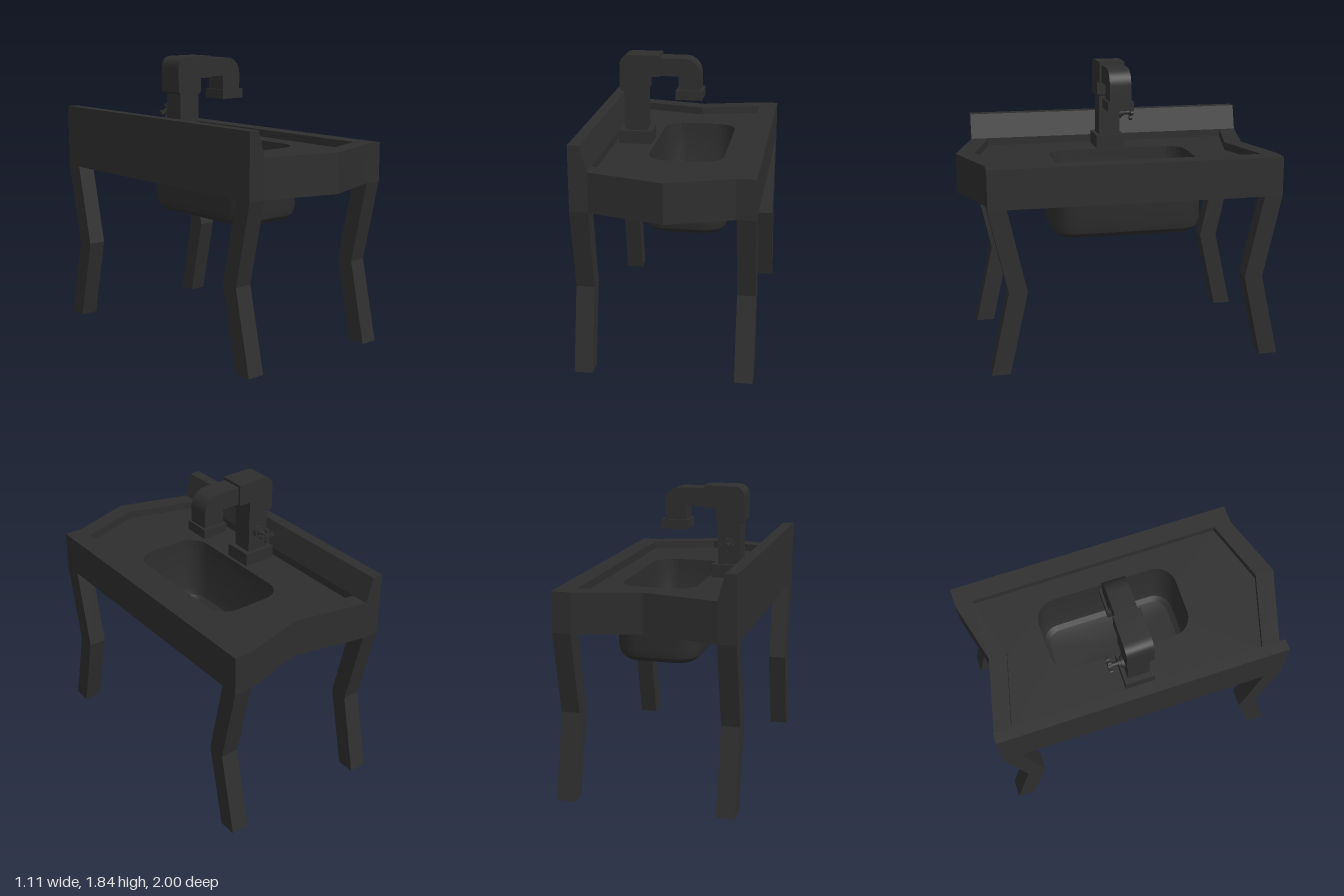
import * as THREE from 'three';
import { toCreasedNormals } from 'three/addons/utils/BufferGeometryUtils.js';

const charcoal = new THREE.MeshStandardMaterial({ color: 0x2e2e2e });
charcoal.name = 'charcoal';

const shapeOf = (pts) => new THREE.Shape(pts.map(([a, b]) => new THREE.Vector2(a, b)));

// Extrude an outline given in x and z downward from the height 'top'
function slab(pts, hole, top, depth) {
  const shape = shapeOf(pts);
  if (hole) shape.holes.push(shapeOf(hole));
  return new THREE.ExtrudeGeometry(shape, { depth, bevelEnabled: false }).rotateX(Math.PI / 2).translate(0, top, 0);
}

// Rounded rectangle as a loop of [x, z] points
function roundedLoop(cx, cz, hw, hd, r, steps = 6) {
  const pts = [];
  [[1, 1], [-1, 1], [-1, -1], [1, -1]].forEach(([sx, sz], q) => {
    for (let i = 0; i <= steps; i++) {
      const a = (q + i / steps) * Math.PI / 2;
      pts.push([cx + sx * (hw - r) + r * Math.cos(a), cz + sz * (hd - r) + r * Math.sin(a)]);
    }
  });
  return pts;
}

// Skin a stack of equal loops, closing the first and last at their centres
function loft(sections, cx, cz) {
  const pos = [], idx = [], n = sections[0].loop.length;
  for (const { loop, y } of sections) for (const [x, z] of loop) pos.push(x, y, z);
  for (let s = 0; s < sections.length - 1; s++) {
    for (let i = 0; i < n; i++) {
      const j = (i + 1) % n, a = s * n + i, b = s * n + j;
      idx.push(a, a + n, b, b, a + n, b + n);
    }
  }
  const last = sections.length - 1, first = pos.length / 3;
  pos.push(cx, sections[0].y, cz, cx, sections[last].y, cz);
  for (let i = 0; i < n; i++) {
    const j = (i + 1) % n;
    idx.push(first, i, j, first + 1, last * n + j, last * n + i);
  }
  const g = new THREE.BufferGeometry();
  g.setAttribute('position', new THREE.Float32BufferAttribute(pos, 3));
  g.setIndex(idx);
  return toCreasedNormals(g, 0.45);
}

// Extrude a side outline in x and y, centred on the depth z
function sideProfile(shape, width, z) {
  const g = new THREE.ExtrudeGeometry(shape, { depth: width, bevelEnabled: false, curveSegments: 8 });
  return toCreasedNormals(g.translate(0, 0, z - width / 2), 0.45);
}

export function createModel() {
  const group = new THREE.Group();
  const add = (name, geometry, x = 0, y = 0, z = 0) => {
    const mesh = new THREE.Mesh(geometry, charcoal);
    mesh.name = name;
    mesh.position.set(x, y, z);
    group.add(mesh);
    return mesh;
  };

  // Counter frame with a bowed front end and a notched back end
  const outer = [[-0.555, -1], [-0.44, -1], [0.03, -0.895], [0.435, -1], [0.555, -1],
    [0.555, 0.86], [0.435, 0.86], [0.03, 1], [-0.44, 0.86], [-0.555, 0.86]];
  const inner = [[-0.44, -0.89], [0.03, -0.78], [0.435, -0.89], [0.435, 0.745], [0.03, 0.88], [-0.44, 0.745]];
  add('counterFrame', slab(outer, inner, 1.305, 0.25));

  // Sunken worktop with the basin opening
  const cx = 0.062, cz = -0.07;
  const basinLoop = (inset, r) => roundedLoop(cx, cz, 0.27 - inset, 0.49 - inset, r);
  add('worktop', slab(inner, basinLoop(0.03, 0.13), 1.255, 0.055));

  // Basin: outside from the bottom up, then inside from the rim down
  const profile = [[0.1, 0.765, 0.08], [0.05, 0.777, 0.11], [0.015, 0.81, 0.135], [0, 0.86, 0.15], [0, 1.2, 0.15],
    [0.03, 1.2, 0.13], [0.03, 0.88, 0.13], [0.045, 0.835, 0.115], [0.075, 0.808, 0.095], [0.12, 0.8, 0.07]];
  add('basin', loft(profile.map(([inset, y, r]) => ({ loop: basinLoop(inset, r), y })), cx, cz));

  // Splashback with a sloping face
  const splash = shapeOf([[-0.555, 1.305], [-0.44, 1.305], [-0.485, 1.465], [-0.555, 1.465]]);
  add('splashback', new THREE.ExtrudeGeometry(splash, { depth: 1.86, bevelEnabled: false }), 0, 0, -1);

  // Four bent legs; the outline is in z and y
  for (const [end, foot, dir] of [['front', 0.86, -1], ['back', -1, 1]]) {
    const w = 0.117 * dir, knee = foot + w;
    const outline = shapeOf([[foot, 0], [foot + w, 0], [knee + w, 0.53], [foot + w, 1.055], [foot, 1.055], [knee, 0.53]]);
    for (const [side, x] of [['Left', 0.44], ['Right', -0.555]]) {
      const g = new THREE.ExtrudeGeometry(outline, { depth: 0.115, bevelEnabled: false });
      add(end + side + 'Leg', g.rotateY(-Math.PI / 2).translate(0.115, 0, 0), x);
    }
  }

  // Tap: square base, post, heavy elbow, curved spout and nozzle
  const tz = -0.05;
  add('tapBase', new THREE.BoxGeometry(0.215, 0.085, 0.19), -0.307, 1.2975, tz);
  add('tapPost', new THREE.BoxGeometry(0.145, 0.28, 0.14), -0.307, 1.48, tz);

  const elbow = new THREE.Shape();
  elbow.moveTo(-0.39, 1.603);
  elbow.lineTo(-0.235, 1.603);
  elbow.lineTo(-0.225, 1.613);
  elbow.lineTo(-0.225, 1.7);
  elbow.lineTo(-0.145, 1.7);
  elbow.lineTo(-0.145, 1.838);
  elbow.lineTo(-0.33, 1.838);
  elbow.quadraticCurveTo(-0.405, 1.838, -0.405, 1.765);
  elbow.lineTo(-0.405, 1.618);
  add('tapElbow', sideProfile(elbow, 0.17, tz));

  const spout = new THREE.Shape();
  spout.moveTo(-0.15, 1.705);
  spout.lineTo(-0.025, 1.705);
  spout.lineTo(-0.025, 1.61);
  spout.lineTo(0.115, 1.61);
  spout.lineTo(0.115, 1.715);
  spout.absarc(0.01, 1.715, 0.105, 0, Math.PI / 2, false);
  spout.lineTo(-0.15, 1.82);
  add('tapSpout', sideProfile(spout, 0.14, tz));
  add('tapNozzle', new THREE.BoxGeometry(0.17, 0.06, 0.17), 0.045, 1.585, tz);

  // Valve on the back of the post: flange, stem and cross handle
  const vx = -0.307, vy = 1.472;
  const rod = (r, length) => new THREE.CylinderGeometry(r, r, length, 16).rotateX(Math.PI / 2);
  add('valveFlange', rod(0.038, 0.025), vx, vy, -0.13);
  add('valveCollar', rod(0.024, 0.02), vx, vy, -0.15);
  add('valveStem', rod(0.015, 0.08), vx, vy, -0.18);
  add('valveHub', rod(0.022, 0.024), vx, vy, -0.213);
  for (let i = 0; i < 4; i++) {
    const a = i * Math.PI / 2;
    const dx = Math.cos(a), dy = Math.sin(a);
    add('valveSpoke', new THREE.BoxGeometry(0.03, 0.015, 0.012), vx + 0.025 * dx, vy + 0.025 * dy, -0.213).rotation.z = a;
    add('valveKnob', rod(0.014, 0.02), vx + 0.039 * dx, vy + 0.039 * dy, -0.213);
  }
  return group;
}
